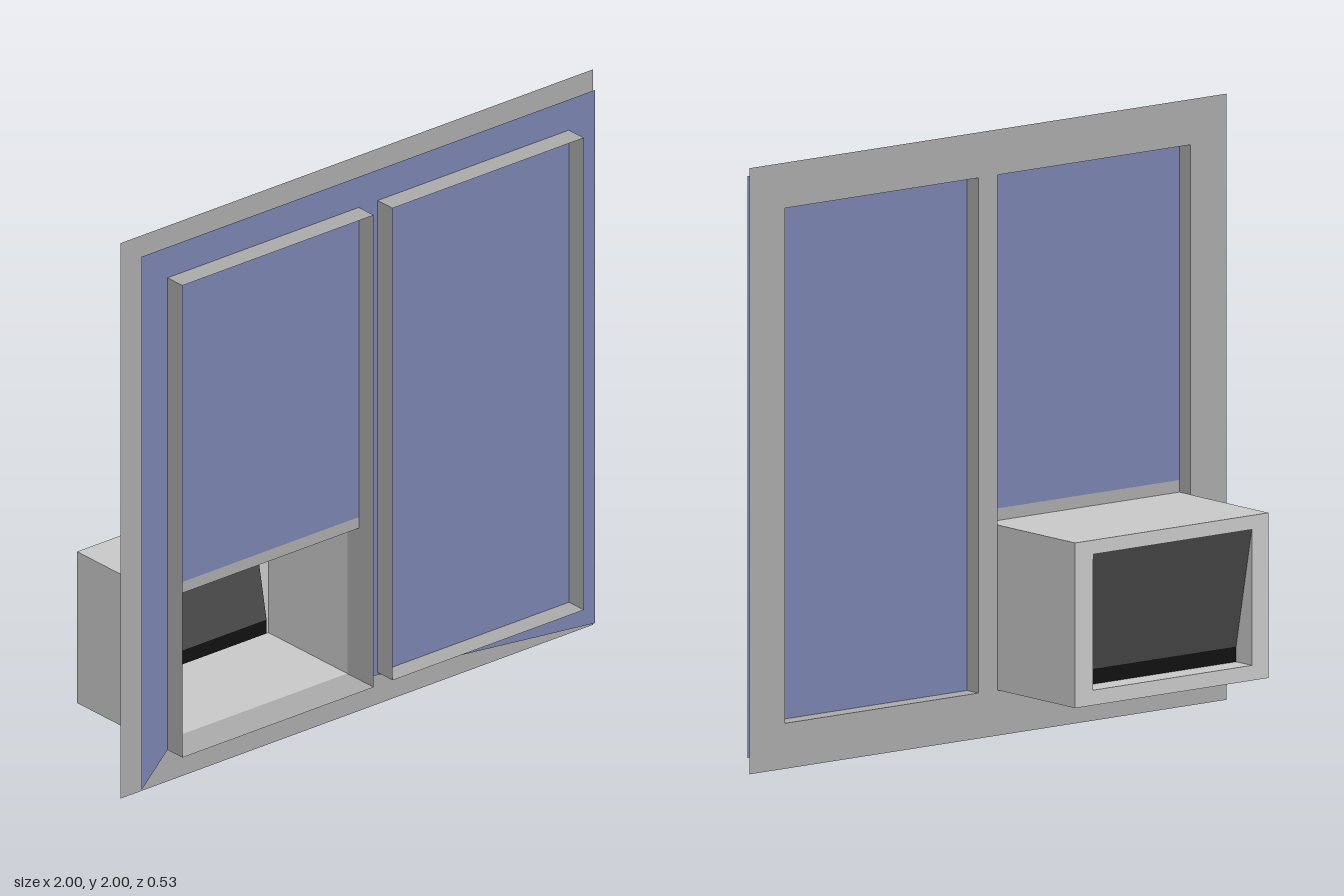
import * as THREE from 'three';

const material = (color) => new THREE.MeshStandardMaterial({ color, side: THREE.DoubleSide, flatShading: true });
const rect = (x0, y0, x1, y1) => [[x0, y0], [x1, y0], [x1, y1], [x0, y1]];
const points = (list) => list.map(([x, y]) => new THREE.Vector2(x, y));

// Depths: wall side of the frame, glass, front lip, rear of the cooler
const WALL = 0.132, GLASS = 0.19, FRONT = 0.265, REAR = -0.265;
// Window opening (mirrored for the second one)
const IN = 0.04, OUT = 0.85, LOW = 0.15, HIGH = 1.85;
const UNIT_TOP = 0.695;

export function createModel() {
  const model = new THREE.Group();
  const frameMat = material(0xadadad), unitMat = material(0xcccccc);
  const glassMat = material(0x7b85b1), ventMat = material(0x4a4a4a), slotMat = material(0x111111);

  const add = (parent, name, geometry, mat) => {
    const mesh = new THREE.Mesh(geometry, mat);
    mesh.name = name;
    parent.add(mesh);
    return mesh;
  };
  // Flat sheet facing z, with optional holes
  const sheet = (parent, name, outline, holes, z, mat) => {
    const shape = new THREE.Shape(points(outline));
    for (const hole of holes) shape.holes.push(new THREE.Path(points(hole)));
    add(parent, name, new THREE.ShapeGeometry(shape).translate(0, 0, z), mat);
  };
  // Flat convex panel through 3D corners
  const panel = (parent, name, corners, mat) => {
    const g = new THREE.BufferGeometry();
    g.setAttribute('position', new THREE.Float32BufferAttribute(corners.flat(), 3));
    const index = [];
    for (let i = 1; i < corners.length - 1; i++) index.push(0, i, i + 1);
    g.setIndex(index);
    g.computeVertexNormals();
    add(parent, name, g, mat);
  };
  // Open sleeve: an outline swept along z
  const sleeve = (parent, name, outline, z0, z1, mat) => outline.forEach(([x, y], i) => {
    const [u, v] = outline[(i + 1) % outline.length];
    panel(parent, name, [[x, y, z0], [u, v, z0], [u, v, z1], [x, y, z1]], mat);
  });

  // Window frame with two openings and their projecting casings
  const frame = new THREE.Group();
  frame.name = 'windowFrame';
  model.add(frame);
  const openings = [rect(-OUT, LOW, -IN, HIGH), rect(IN, LOW, OUT, HIGH)];
  sheet(frame, 'backFrame', rect(-1, 0, 1, 2), openings, WALL, frameMat);
  openings.forEach((o) => sleeve(frame, 'casing', o, WALL, FRONT, frameMat));
  sheet(frame, 'sashRail', rect(-OUT, UNIT_TOP, -IN, 0.735), [], GLASS, frameMat);

  // Glass sheet, cut out around the cooler
  sheet(model, 'glass', [[-0.96, 0.04], [-OUT, LOW], [-OUT, 0.735], [-IN, 0.735],
    [-IN, LOW], [0.96, 0.04], [0.96, 1.96], [-0.96, 1.96]], [], GLASS, glassMat);

  // Hollow window cooler behind the lower part of the opening
  const unit = new THREE.Group();
  unit.name = 'windowCooler';
  model.add(unit);
  sleeve(unit, 'coolerCasing', rect(-OUT, LOW, -IN, UNIT_TOP), REAR, WALL, unitMat);
  panel(unit, 'coolerTopEdge', [[-OUT, UNIT_TOP, WALL], [-IN, UNIT_TOP, WALL],
    [-IN, UNIT_TOP, GLASS], [-OUT, UNIT_TOP, GLASS]], unitMat);

  // Rear face with a recessed, slanted vent
  const x0 = -0.78, x1 = -0.115, y0 = 0.2, y1 = 0.25, y2 = 0.65, deep = REAR + 0.08;
  sheet(unit, 'coolerRear', rect(-OUT, LOW, -IN, UNIT_TOP), [rect(x0, y0, x1, y2)], REAR, unitMat);
  for (const x of [x0, x1]) {
    panel(unit, 'ventCheek', [[x, y0, REAR], [x, y0, deep], [x, y1, deep], [x, y2, REAR]], unitMat);
  }
  panel(unit, 'ventFloor', [[x0, y0, REAR], [x0, y0, deep], [x1, y0, deep], [x1, y0, REAR]], unitMat);
  panel(unit, 'ventSlot', [[x0, y0, deep], [x1, y0, deep], [x1, y1, deep], [x0, y1, deep]], slotMat);
  panel(unit, 'ventPanel', [[x0, y1, deep], [x1, y1, deep], [x1, y2, REAR], [x0, y2, REAR]], ventMat);

  return model;
}
